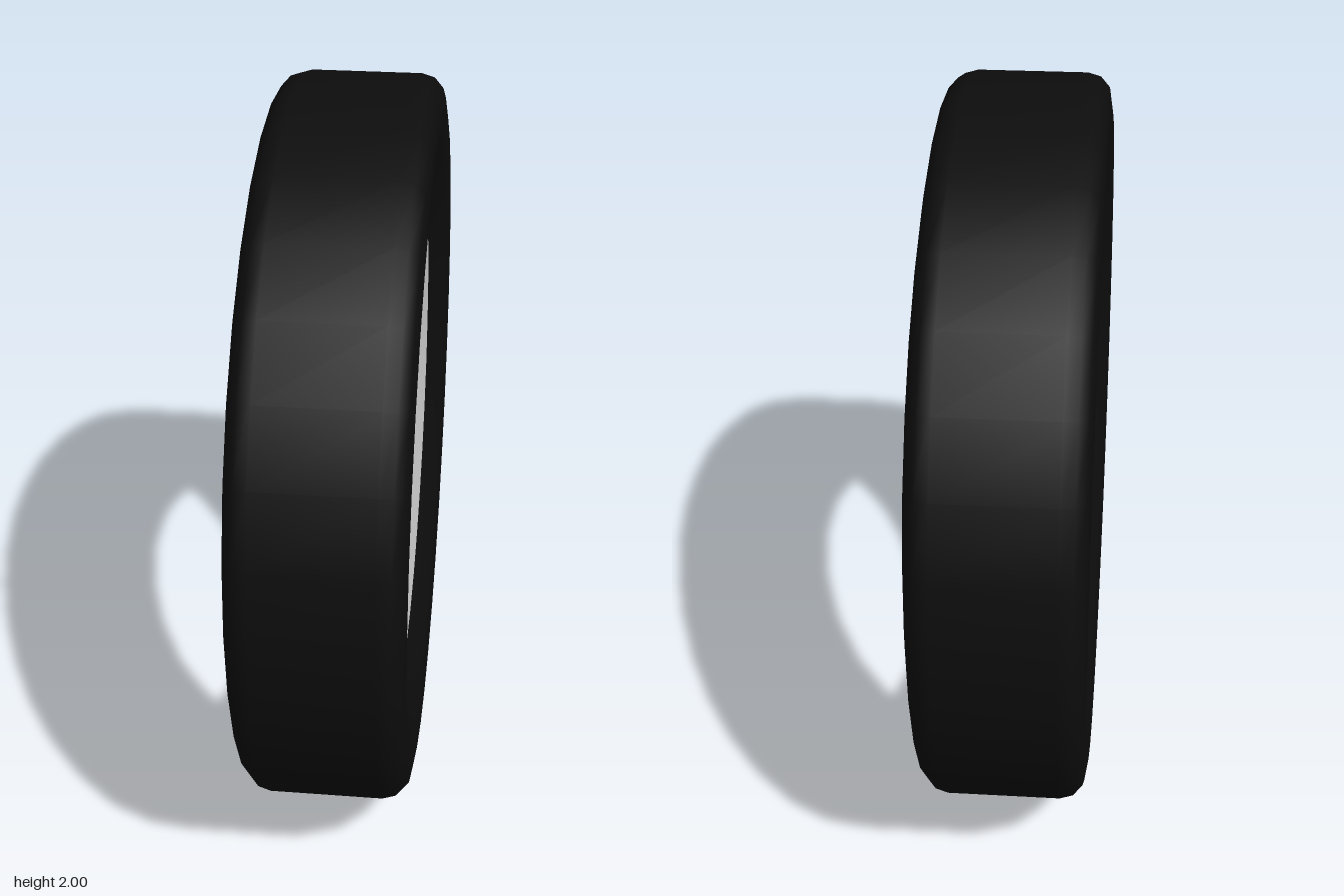
import * as THREE from 'three';

const rubber = new THREE.MeshStandardMaterial({ color: 0x0d0d0d, side: THREE.DoubleSide });
const metal = new THREE.MeshStandardMaterial({ color: 0xcccccc, side: THREE.DoubleSide });

// Revolves a profile of [x, radius] points around the x axis
function revolve(name, profile, sides, material) {
  const points = profile.map(([x, r]) => new THREE.Vector2(r, x));
  const geometry = new THREE.LatheGeometry(points, sides);
  geometry.rotateZ(-Math.PI / 2);
  const mesh = new THREE.Mesh(geometry, material);
  mesh.name = name;
  return mesh;
}

// The same profile on the other side, keeping the faces outward
const mirror = (profile) => profile.map(([x, r]) => [-x, r]).reverse();

export function createModel() {
  const group = new THREE.Group();
  group.name = 'wheel';
  group.position.y = 1;

  // Tyre: sidewall, rounded shoulder and flat tread, mirrored
  const shoulder = [[0.15, 1], [0.185, 0.99], [0.21, 0.962], [0.22, 0.9], [0.21, 0.81], [0.163, 0.72]];
  group.add(revolve('tyre', [...mirror(shoulder), ...shoulder], 32, rubber));

  // Dished rim faces: bare on the left, dark on the right
  const face = [[0.163, 0.72], [0.13, 0.58]];
  group.add(revolve('leftRimFace', face, 32, metal));
  group.add(revolve('rightRimFace', mirror(face), 32, rubber));

  // Coarser hollow inside of the rim, in two halves
  const hollow = [[0.13, 0.583], [0.085, 0.655], [0.04, 0.705], [0, 0.72]];
  group.add(revolve('leftRimInside', hollow, 18, metal));
  group.add(revolve('rightRimInside', mirror(hollow), 18, rubber));

  const model = new THREE.Group();
  model.add(group);
  return model;
}
